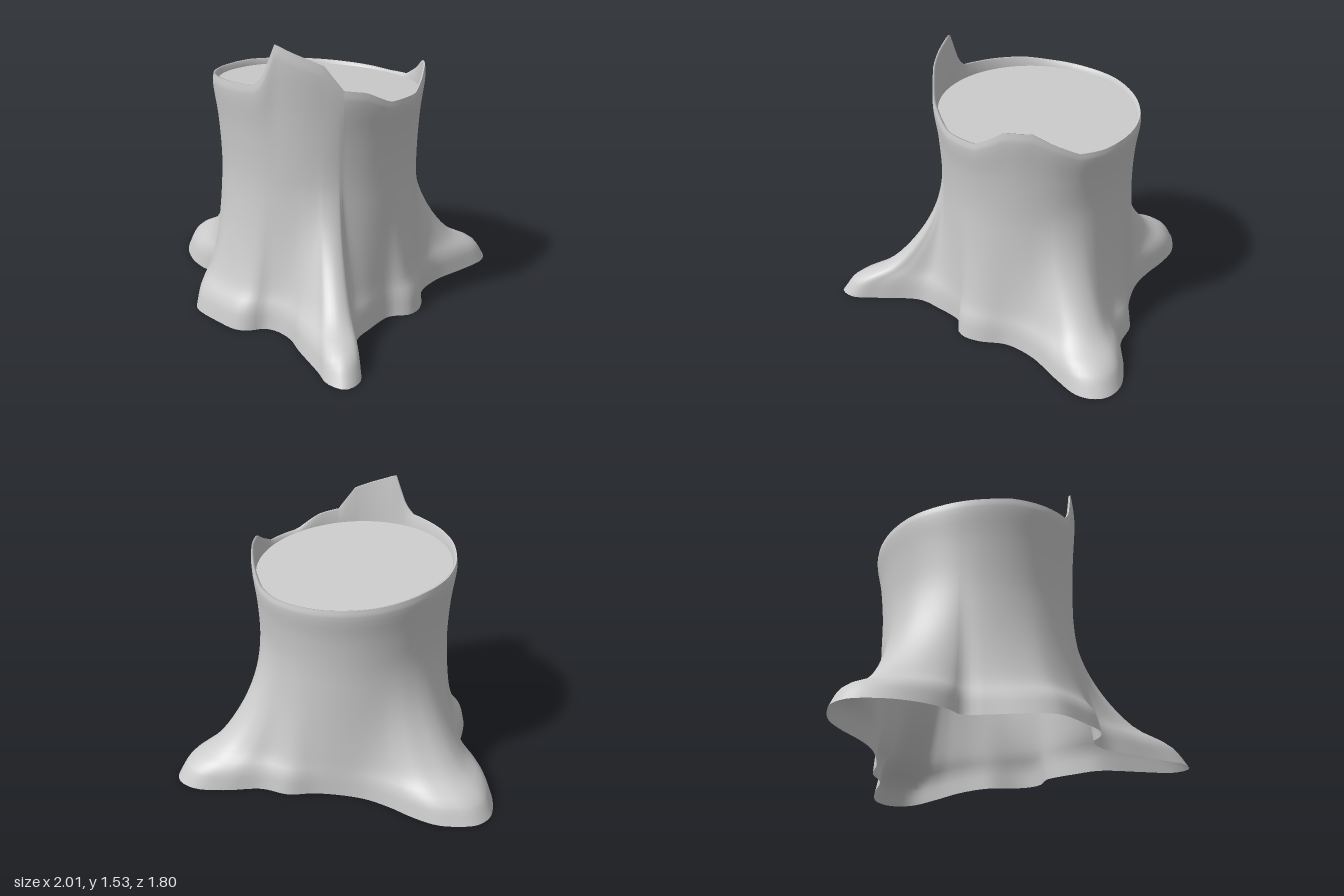
import * as THREE from 'three';

const CX = 0.06, CZ = 0.13; // trunk axis
const N = 180;              // columns around the trunk

// Ground outline with the roots, [x, z], running from the left side towards the front
const outline = [
  [0.63, 0.16], [0.63, 0.22], [0.65, 0.33], [0.69, 0.48], [0.88, 0.66], [0.99, 0.77], [0.99, 0.87], [0.89, 0.895],
  [0.78, 0.85], [0.56, 0.77], [0.43, 0.715], [0.31, 0.71], [0.25, 0.74], [0.22, 0.8], [0.16, 0.845],
  [0, 0.855], [-0.17, 0.84], [-0.23, 0.8], [-0.3, 0.72], [-0.42, 0.55], [-0.48, 0.475],
  [-0.58, 0.475], [-0.7, 0.45], [-0.84, 0.38], [-0.95, 0.28], [-1, 0.2], [-1, 0.1], [-0.93, 0],
  [-0.85, -0.07], [-0.72, -0.12], [-0.55, -0.16], [-0.4, -0.22], [-0.2, -0.38], [-0.1, -0.51],
  [0.04, -0.59], [0.17, -0.76], [0.3, -0.88], [0.41, -0.9], [0.48, -0.86], [0.525, -0.78],
  [0.525, -0.6], [0.51, -0.38], [0.55, -0.2], [0.65, -0.08], [0.69, 0], [0.69, 0.07],
];

// Broken rim: [angle in degrees, height]; 0 is +x, 90 is the front
const rimHeights = [
  [-180, 1.23], [-150, 1.2], [-120, 1.18], [-90, 1.165], [-75, 1.175], [-62, 1.24], [-50, 1.31],
  [-35, 1.31], [-25, 1.25], [-17, 1.21], [5, 1.21], [20, 1.28], [32, 1.3], [42, 1.43], [52, 1.47],
  [60, 1.5], [67, 1.53], [74, 1.36], [79, 1.31], [90, 1.3], [105, 1.29], [120, 1.28], [135, 1.26],
  [160, 1.24], [180, 1.23],
];

// Side profile: (height, share of the root outline, trunk radius)
const profile = new THREE.CatmullRomCurve3([
  [0, 1, 0.535], [0.1, 0.88, 0.535], [0.21, 0.54, 0.535], [0.4, 0.26, 0.535], [0.6, 0.09, 0.535],
  [0.8, 0.02, 0.535], [1, 0.01, 0.55], [1.16, 0, 0.575], [1.2, 0, 0.57],
].map(p => new THREE.Vector3(...p)));

const cutHeight = dz => 1.195 + 0.07 * dz; // the sawn face tilts slightly backwards

function rimHeight(angle) {
  const a = THREE.MathUtils.radToDeg(angle);
  const k = Math.max(1, rimHeights.findIndex(h => h[0] >= a));
  const [a0, h0] = rimHeights[k - 1], [a1, h1] = rimHeights[k];
  return THREE.MathUtils.lerp(h0, h1, (a - a0) / (a1 - a0));
}

// Surface from closed rings of N points, listed bottom to top
function loft(name, rings, material) {
  const index = [];
  for (let j = 0; j < rings.length - 1; j++) {
    for (let i = 0; i < N; i++) {
      const a = j * N + i, b = j * N + (i + 1) % N;
      index.push(a, a + N, b, b, a + N, b + N);
    }
  }
  const geometry = new THREE.BufferGeometry().setFromPoints(rings.flat());
  geometry.setIndex(index);
  geometry.computeVertexNormals();
  const mesh = new THREE.Mesh(geometry, material);
  mesh.name = name;
  return mesh;
}

export function createModel() {
  const group = new THREE.Group();
  group.name = 'treeStump';
  const wood = new THREE.MeshStandardMaterial({ color: 0xcccccc, side: THREE.DoubleSide });

  // Each column: direction from the axis, reach of the root, height of the rim
  const curve = new THREE.CatmullRomCurve3(
    outline.map(([x, z]) => new THREE.Vector3(x - CX, 0, z - CZ)), true);
  const columns = curve.getSpacedPoints(N).slice(0, N).map(p => {
    const angle = Math.atan2(p.z, p.x), reach = Math.hypot(p.x, p.z);
    return { c: Math.cos(angle), s: Math.sin(angle), reach, top: rimHeight(angle) };
  });
  const point = (col, r, y) => new THREE.Vector3(CX + col.c * r, y, CZ + col.s * r);

  // Bark wall with flaring roots, open underneath
  const rows = 32, bark = [];
  for (let j = 0; j <= rows; j++) {
    const p = profile.getPoint(j / rows);
    bark.push(columns.map(col => {
      const r = THREE.MathUtils.lerp(p.z, col.reach, p.y);
      const y = p.x < 0.8 ? p.x : 0.8 + (p.x - 0.8) * (col.top - 0.8) / 0.4;
      return point(col, r, Math.max(0, y));
    }));
  }
  group.add(loft('barkAndRoots', bark, wood));

  // Thin lip of bark falling to the sawn face
  group.add(loft('rimLip', [
    columns.map(col => point(col, 0.57, col.top)),
    columns.map(col => point(col, 0.558, col.top - 0.003)),
    columns.map(col => point(col, 0.55, cutHeight(col.s * 0.55))),
  ], wood));

  // Sawn face
  const face = new THREE.CircleGeometry(0.552, 96).rotateX(-Math.PI / 2);
  const pos = face.attributes.position;
  for (let i = 0; i < pos.count; i++) pos.setY(i, cutHeight(pos.getZ(i)));
  face.translate(CX, 0, CZ);
  face.computeVertexNormals();
  const cut = new THREE.Mesh(face, wood);
  cut.name = 'sawnFace';
  group.add(cut);

  return group;
}
